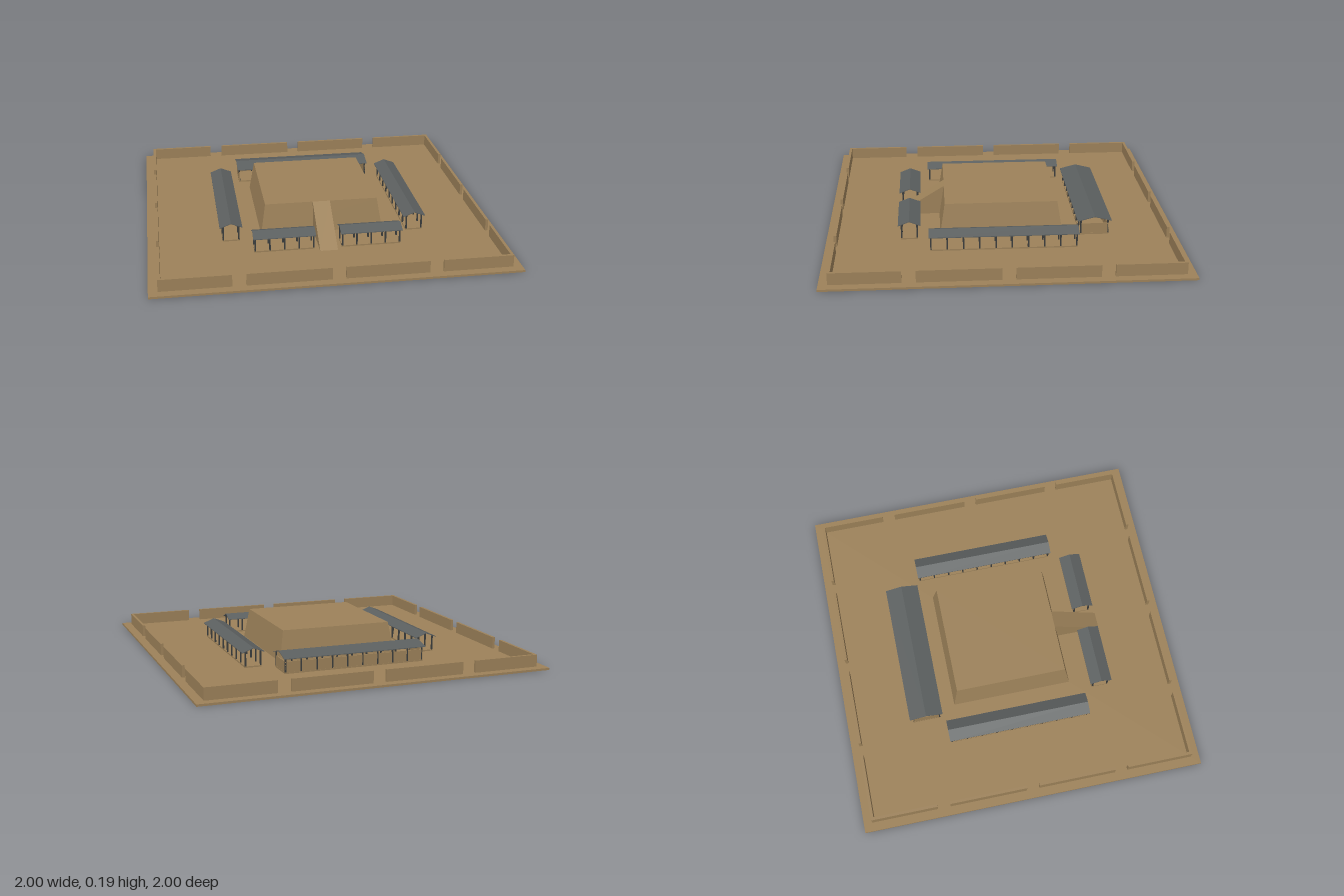
import * as THREE from 'three';

const mat = (name, color) => {
  const m = new THREE.MeshStandardMaterial({ color });
  m.name = name;
  return m;
};

export function createModel() {
  const earth = mat('packed earth', 0x9c8159);
  const tile = mat('grey roof tile', 0x5b5f5f);
  const timber = mat('dark timber', 0x3b3d3d);
  const model = new THREE.Group();
  model.name = 'walledCompound';
  const GROUND = 0.012, FLOOR = 0.02;

  const add = (parent, name, geometry, material) => {
    const mesh = new THREE.Mesh(geometry, material);
    mesh.name = name;
    parent.add(mesh);
    return mesh;
  };
  // Box given by its limits on each axis
  const box = (parent, name, material, [x0, x1], [y0, y1], [z0, z1]) =>
    add(parent, name, new THREE.BoxGeometry(x1 - x0, y1 - y0, z1 - z0), material)
      .position.set((x0 + x1) / 2, (y0 + y1) / 2, (z0 + z1) / 2);
  // Outline in x-y, extruded along z and centred
  const prism = (points, depth) => {
    const shape = new THREE.Shape(points.map(([x, y]) => new THREE.Vector2(x, y)));
    return new THREE.ExtrudeGeometry(shape, { depth, bevelEnabled: false })
      .translate(0, 0, -depth / 2);
  };

  box(model, 'ground', earth, [-1, 1], [0, GROUND], [-1, 1]);

  // Perimeter wall: four sides, each with three gateways
  for (let i = 0; i < 4; i++) {
    const side = new THREE.Group();
    side.name = 'perimeterWall';
    side.rotation.y = i * Math.PI / 2;
    for (const [a, b] of [[-0.95, -0.565], [-0.49, -0.037], [0.037, 0.49], [0.565, 0.934]])
      box(side, 'wallSection', earth, [a, b], [GROUND, 0.08], [0.934, 0.95]);
    model.add(side);
  }

  // Central mound with sloping sides
  const mound = new THREE.BoxGeometry(0.706, 0.175, 0.706);
  const p = mound.attributes.position;
  for (let i = 0; i < p.count; i++)
    if (p.getY(i) > 0) p.setXYZ(i, p.getX(i) * 0.92, p.getY(i), p.getZ(i) * 0.92);
  mound.computeVertexNormals();
  add(model, 'mound', mound, earth).position.y = GROUND + 0.0875;

  // Ramp up the front of the mound
  const ramp = prism([[0.32, GROUND], [0.61, GROUND], [0.325, 0.187], [0.32, 0.187]], 0.1);
  add(model, 'ramp', ramp, earth).rotation.y = -Math.PI / 2;

  // Hall running along its local x axis: plinth, posts and gabled roof
  const hall = (name, length, width, bays, x, z, turn, walled) => {
    const g = new THREE.Group();
    g.name = name;
    g.position.set(x, 0, z);
    g.rotation.y = turn;
    const hx = length / 2 - 0.008, hz = width / 2 - 0.016;
    box(g, 'plinth', earth, [-hx, hx], [GROUND, FLOOR], [-hz, hz]);

    const slope = (t) => 0.125 - 0.025 * t / (width / 2);
    for (let i = 0; i <= bays; i++)
      for (const s of [-1, 1]) {
        const px = -hx + 0.004 + i * (2 * hx - 0.008) / bays, pz = s * (hz - 0.004);
        box(g, 'post', timber, [px - 0.004, px + 0.004], [FLOOR, slope(hz) - 0.003],
          [pz - 0.004, pz + 0.004]);
      }

    const w = width / 2, t = 0.004;
    const roof = prism([[-w, 0.1], [-w, 0.1 - t], [0, 0.125 - t], [w, 0.1 - t], [w, 0.1], [0, 0.125]], length);
    add(g, 'roof', roof, tile).rotation.y = Math.PI / 2;

    // Walls on the rear and both ends
    if (walled) {
      box(g, 'rearWall', earth, [-hx, hx], [FLOOR, 0.08], [-hz + 0.001, -hz + 0.007]);
      for (const s of [-1, 1]) {
        const wx = s * (hx - 0.004);
        box(g, 'endWall', earth, [wx - 0.003, wx + 0.003], [FLOOR, 0.08], [-hz, hz]);
      }
    }
    model.add(g);
  };

  hall('rearHall', 0.84, 0.196, 9, 0, -0.531, 0, true);
  for (const s of [-1, 1]) {
    hall(s > 0 ? 'leftHall' : 'rightHall', 0.84, 0.128, 9, s * 0.529, 0, s * Math.PI / 2, false);
    hall(s > 0 ? 'frontLeftHall' : 'frontRightHall', 0.35, 0.128, 4, s * 0.245, 0.529, 0, false);
  }
  return model;
}
